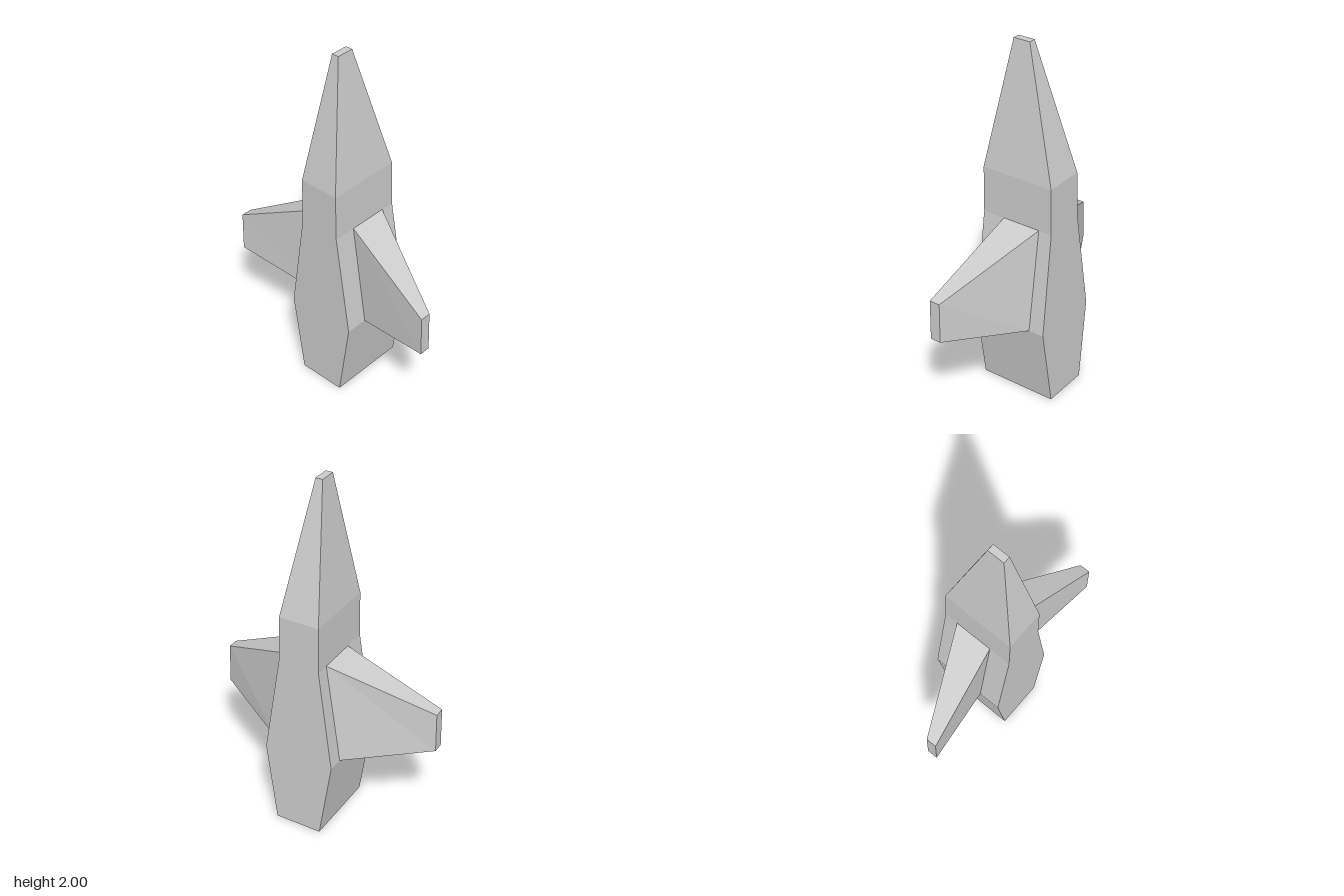
import * as THREE from 'three';

// Skin a series of four-cornered rings, with optional end caps.
// Corners run anticlockwise seen from the far end.
function loft(rings, capStart = true) {
  const pos = [];
  const quad = (a, b, c, d) => pos.push(...a, ...b, ...c, ...a, ...c, ...d);
  for (let i = 0; i < rings.length - 1; i++) {
    for (let j = 0; j < 4; j++) {
      const k = (j + 1) % 4;
      quad(rings[i][j], rings[i][k], rings[i + 1][k], rings[i + 1][j]);
    }
  }
  quad(...rings[rings.length - 1]);
  if (capStart) quad(...[...rings[0]].reverse());
  const geometry = new THREE.BufferGeometry();
  geometry.setAttribute('position', new THREE.Float32BufferAttribute(pos, 3));
  geometry.computeVertexNormals();
  return geometry;
}

export function createModel() {
  const group = new THREE.Group();
  const material = new THREE.MeshStandardMaterial({ color: 0xcccccc, flatShading: true });
  const add = (name, geometry) => {
    const mesh = new THREE.Mesh(geometry, material);
    mesh.name = name;
    group.add(mesh);
  };

  // Fuselage stations: height, half width, front z, back z
  const stations = [
    [0, 0.135, 0.225, -0.225],
    [0.455, 0.203, 0.225, -0.217],
    [1.03, 0.118, 0.225, -0.205],
    [1.29, 0.115, 0.225, -0.2],
    [2, 0.02, 0.097, 0],
  ];
  add('fuselage', loft(stations.map(([y, w, f, b]) => [[-w, y, f], [w, y, f], [w, y, b], [-w, y, b]])));

  // Wings: root against the fuselage flank, smaller swept tip
  const root = [[0.203, 0.455, 0.098], [0.203, 0.455, -0.127], [0.118, 1.03, -0.127], [0.118, 1.03, 0.096]];
  const tip = [[0.65, 0.54, 0.168], [0.65, 0.54, 0.107], [0.645, 0.77, 0.107], [0.645, 0.77, 0.168]];
  const mirror = (ring) => ring.map(([x, y, z]) => [-x, y, z]).reverse();
  add('leftWing', loft([root, tip], false));
  add('rightWing', loft([mirror(root), mirror(tip)], false));

  return group;
}
